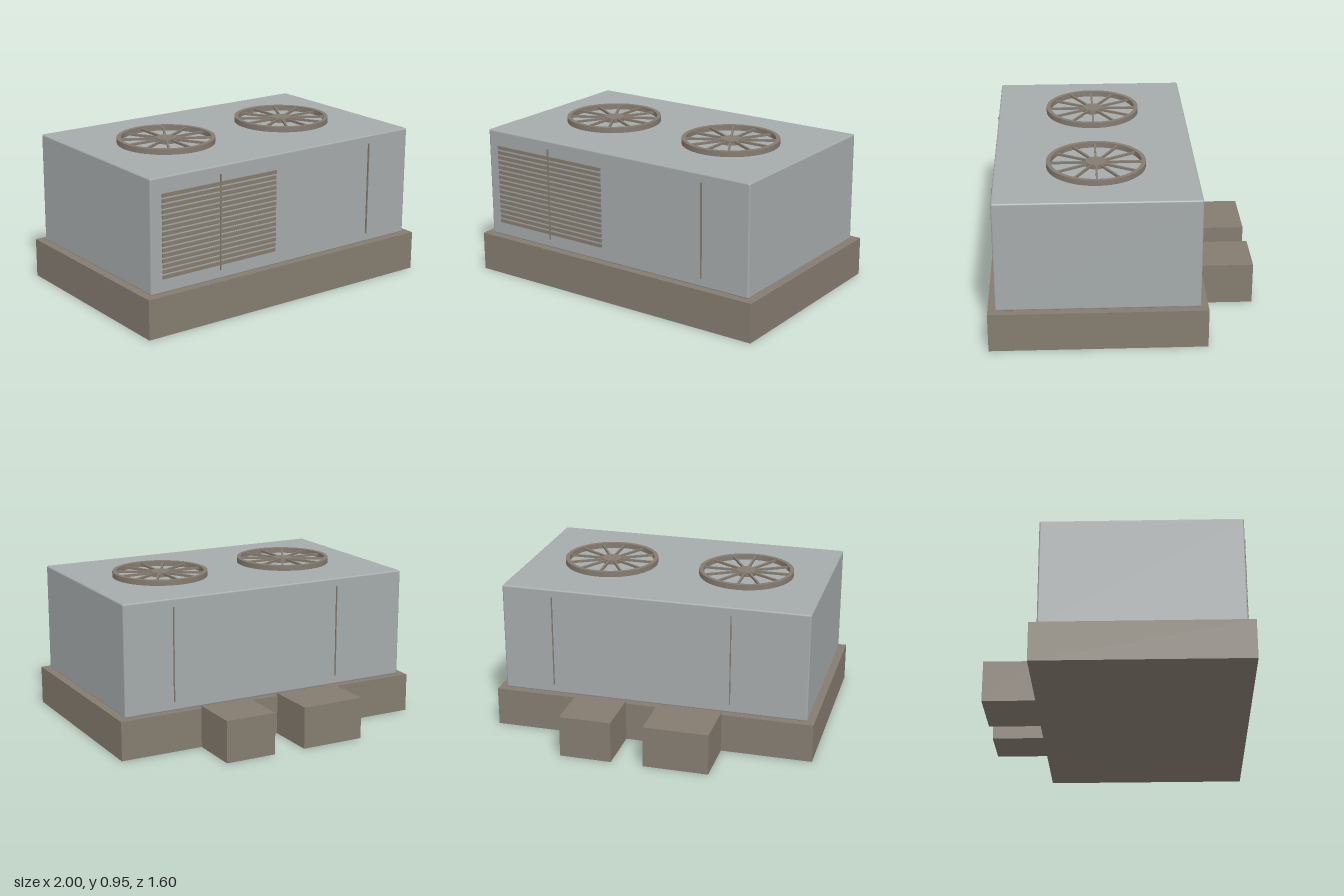
import * as THREE from 'three';
import { RoundedBoxGeometry } from 'three/addons/geometries/RoundedBoxGeometry.js';

export function createModel() {
  const model = new THREE.Group();
  model.name = 'rooftopAirUnit';
  const panel = new THREE.MeshStandardMaterial({ color: 0xa5aaab });
  panel.name = 'grey panel';
  const trim = new THREE.MeshStandardMaterial({ color: 0x857c70 });
  trim.name = 'taupe trim';

  const add = (name, geometry, material, x, y, z, parent = model) => {
    const mesh = new THREE.Mesh(geometry, material);
    mesh.name = name;
    mesh.position.set(x, y, z);
    parent.add(mesh);
    return mesh;
  };
  // box given by its lower and upper limits on each axis
  const box = (name, material, x0, x1, y0, y1, z0, z1) =>
    add(name, new THREE.BoxGeometry(x1 - x0, y1 - y0, z1 - z0), material,
      (x0 + x1) / 2, (y0 + y1) / 2, (z0 + z1) / 2);

  // plinth and the two duct stubs behind it
  box('base', trim, -1, 1, 0, 0.24, -0.48, 0.8);
  box('wideDuct', trim, -0.44, -0.04, 0, 0.257, -0.8, -0.478);
  box('narrowDuct', trim, 0.16, 0.48, 0, 0.257, -0.8, -0.478);

  // cabinet with softened edges
  add('cabinet', new RoundedBoxGeometry(1.91, 0.68, 1.194, 2, 0.01), panel, 0, 0.58, 0.16);

  // louvre slats on the front
  for (let i = 0; i < 16; i++) {
    const y = 0.337 + i * 0.0318;
    box('louvreSlat', trim, -0.88, -0.08, y - 0.0105, y + 0.0105, 0.752, 0.765);
  }

  // panel seams on front and back
  for (const x of [-0.48, 0.637]) {
    box('frontSeam', trim, x - 0.003, x + 0.003, 0.295, 0.87, 0.752, 0.767);
    box('backSeam', trim, x - 0.003, x + 0.003, 0.295, 0.87, -0.444, -0.43);
  }

  // fan guards: open ring, twelve spokes and a hub
  const ring = [[0.27, 0], [0.295, 0], [0.295, 0.035], [0.27, 0.035], [0.27, 0]];
  for (const x of [-0.44, 0.438]) {
    const fan = new THREE.Group();
    fan.name = 'fanGuard';
    fan.position.set(x, 0.918, 0.155);
    model.add(fan);
    // each face of the ring is its own lathe, keeping the edges sharp
    for (let i = 0; i < 4; i++) {
      const pts = [ring[i], ring[i + 1]].map(p => new THREE.Vector2(...p));
      add('guardRing', new THREE.LatheGeometry(pts, 48), trim, 0, 0, 0, fan);
    }
    add('hub', new THREE.CylinderGeometry(0.062, 0.062, 0.03, 24), trim, 0, 0.016, 0, fan);
    for (let i = 0; i < 12; i++) {
      const a = i * Math.PI / 6;
      const spoke = add('spoke', new THREE.BoxGeometry(0.23, 0.014, 0.012), trim,
        Math.cos(a) * 0.165, 0.022, -Math.sin(a) * 0.165, fan);
      spoke.rotation.y = a;
    }
  }
  return model;
}
